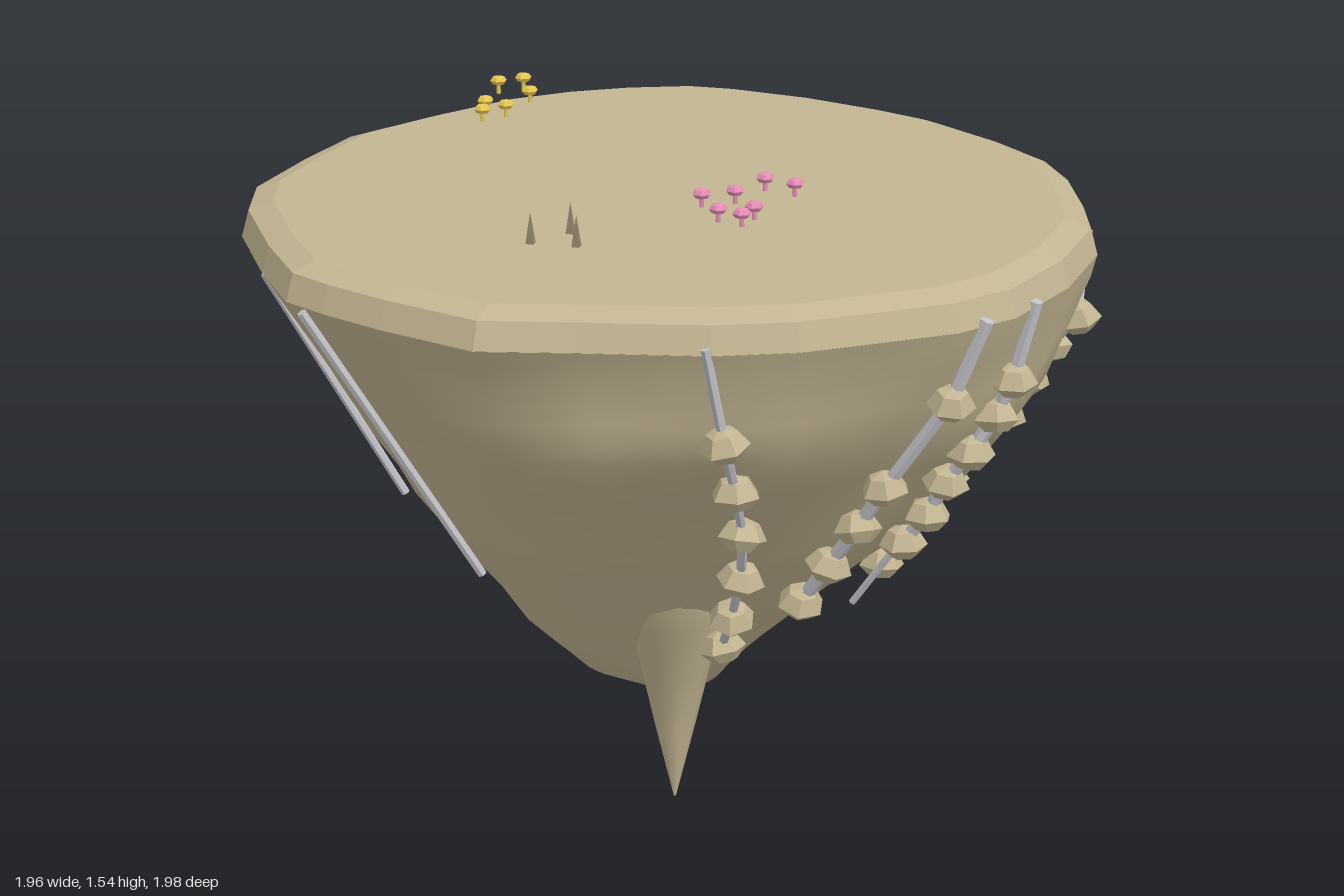
import * as THREE from 'three';

const mat = (name, color) => Object.assign(new THREE.MeshStandardMaterial({ color }), { name });

// irregular rim of the island, seen from above as [x, z]
const RIM = [
  [0.02, -0.97], [0.2, -0.97], [0.36, -0.94], [0.52, -0.88], [0.61, -0.8], [0.75, -0.62], [0.86, -0.42],
  [0.92, -0.28], [0.96, -0.06], [0.97, 0.14], [0.93, 0.3], [0.84, 0.5], [0.76, 0.65], [0.57, 0.82],
  [0.36, 0.94], [0.2, 0.97], [0.02, 0.95], [-0.15, 0.93], [-0.32, 0.87], [-0.56, 0.73], [-0.74, 0.63],
  [-0.86, 0.42], [-0.93, 0.27], [-0.97, 0.16], [-0.95, -0.05], [-0.9, -0.33], [-0.82, -0.5],
  [-0.63, -0.68], [-0.46, -0.82], [-0.2, -0.91],
].map(([x, z]) => [x / 0.97, z / 0.97]);

const circle = (n) => Array.from({ length: n }, (_, i) => {
  const a = (i / n) * Math.PI * 2;
  return [Math.sin(a), -Math.cos(a)];
});

// skin over rings listed from top to bottom: [y, xMin, xMax, zMin, zMax], closed at the named end
function loft(outline, rings, { flat = false, closed, bump = () => 0 }) {
  const n = outline.length, pos = [], index = [];
  const centre = ([y, x0, x1, z0, z1]) => [(x0 + x1) / 2, y, (z0 + z1) / 2];
  for (const r of rings) {
    const [cx, y, cz] = centre(r);
    for (const [px, pz] of outline) {
      const k = 1 + bump(Math.atan2(pz, px), y);
      pos.push(cx + px * k * (r[2] - r[1]) / 2, y, cz + pz * k * (r[4] - r[3]) / 2);
    }
  }
  const hub = pos.length / 3, last = (rings.length - 1) * n;
  pos.push(...centre(closed === 'top' ? rings[0] : rings[rings.length - 1]));
  for (let j = 0; j < n; j++) {
    const k = (j + 1) % n;
    if (closed === 'top') index.push(hub, k, j);
    else index.push(hub, last + j, last + k);
    for (let i = 0; i < last; i += n) index.push(i + j, i + k, i + n + k, i + j, i + n + k, i + n + j);
  }
  let g = new THREE.BufferGeometry();
  g.setAttribute('position', new THREE.Float32BufferAttribute(pos, 3));
  g.setIndex(index);
  if (flat) g = g.toNonIndexed();
  g.computeVertexNormals();
  return g;
}

const flatten = (g) => {
  const f = g.index ? g.toNonIndexed() : g;
  f.computeVertexNormals();
  return f;
};

// linear resampling of the ring table for a finer, bumpy surface
function refine(rings, steps) {
  const out = [];
  for (let i = 0; i < rings.length - 1; i++)
    for (let s = 0; s < steps; s++) out.push(rings[i].map((v, k) => v + (rings[i + 1][k] - v) * s / steps));
  return [...out, rings[rings.length - 1]];
}

export function createModel() {
  const root = new THREE.Group();
  root.name = 'floatingIsland';
  const soil = mat('soil', 0xc3b592), grey = mat('stoneGrey', 0xbcbcbc), cable = mat('cableGrey', 0xc2c2c8);
  const pink = mat('pinkCap', 0xf695c2), yellow = mat('yellowCap', 0xf0ce54), dark = mat('sproutBrown', 0x93866a);

  const add = (name, geometry, material, parent = root) => {
    const m = new THREE.Mesh(geometry, material);
    m.name = name;
    parent.add(m);
    return m;
  };

  // flat plateau with a bevelled rim
  add('plateau', loft(RIM, [
    [1.466, -0.9, 0.91, -0.9, 0.905],
    [1.445, -0.955, 0.965, -0.965, 0.96],
    [1.385, -0.975, 0.98, -0.975, 0.98],
  ], { flat: true, closed: 'top' }), soil);

  // tapering underside: fuller shoulders on the diagonals and soft vertical folds
  add('underside', loft(RIM, refine([
    [1.386, -0.975, 0.98, -0.975, 0.98],
    [1.33, -0.94, 0.965, -0.96, 0.955],
    [1.25, -0.885, 0.915, -0.925, 0.92],
    [1.15, -0.815, 0.83, -0.88, 0.88],
    [1.05, -0.755, 0.795, -0.86, 0.82],
    [0.95, -0.7, 0.77, -0.78, 0.74],
    [0.82, -0.625, 0.73, -0.68, 0.64],
    [0.72, -0.565, 0.66, -0.61, 0.56],
    [0.55, -0.43, 0.47, -0.47, 0.4],
    [0.42, -0.335, 0.34, -0.34, 0.275],
    [0.29, -0.2, 0.21, -0.2, 0.16],
    [0.23, -0.08, 0.16, -0.14, 0.1],
    [0.185, 0.07, 0.12, -0.09, -0.04],
  ], 2), {
    closed: 'bottom',
    bump: (a, y) => {
      const fade = Math.min(1, (1.386 - y) * 4);
      const shoulder = 0.065 * Math.sin(2 * a) ** 2 * Math.exp(-(((y - 1.12) / 0.25) ** 2));
      const folds = 0.014 * Math.sin(5 * a + 4 * y) + 0.014 * Math.sin(9 * a - 7 * y) + 0.01 * Math.sin(13 * a + 11 * y);
      return fade * (shoulder + folds);
    },
  }), soil);

  // hanging stalactite
  const spike = [[0.76, -0.13, 0.38, 0.05], [0.62, -0.11, 0.3, 0.105], [0.5, -0.085, 0.25, 0.11],
    [0.35, -0.065, 0.21, 0.082], [0.2, -0.06, 0.2, 0.05], [0, -0.06, 0.2, 0.003]];
  add('stalactite', loft(circle(9), spike.map(([y, x, z, r]) => [y, x - r, x + r, z - r, z + r]), { closed: 'bottom' }), soil);

  // cables
  const rod = (name, a, b, r, parent = root) => {
    const p = new THREE.Vector3(...a), d = new THREE.Vector3(...b).sub(p);
    const m = add(name, flatten(new THREE.CylinderGeometry(r, r, d.length(), 6)), cable, parent);
    m.position.copy(p).addScaledVector(d, 0.5);
    m.quaternion.setFromUnitVectors(new THREE.Vector3(0, 1, 0), d.normalize());
  };
  rod('leftCable', [-0.965, 1.38, 0.23], [-0.585, 0.72, 0.28], 0.011);
  rod('leftRearCable', [-0.945, 1.38, -0.06], [-0.665, 0.84, 0.03], 0.01);
  rod('frontBareCable', [0.57, 1.4, 0.8], [0.49, 0.97, 0.63], 0.009);
  rod('frontBareCable', [0.49, 0.97, 0.63], [0.33, 0.5, 0.36], 0.009);

  // strings of faceted stones on cables, hung from the rim
  const stoneGeometry = flatten(new THREE.LatheGeometry(
    [[0, -0.036], [0.03, -0.034], [0.055, -0.008], [0.034, 0.028], [0, 0.04]].map((p) => new THREE.Vector2(...p)), 6));
  const chains = [
    { r: 0.011, top: [-0.33, 1.4, 0.87], stones: [[-0.28, 1.18, 0.86], [-0.22, 1.04, 0.8], [-0.17, 0.91, 0.74],
      [-0.13, 0.77, 0.66], [-0.1, 0.63, 0.56], [-0.06, 0.5, 0.44]] },
    { r: 0.016, top: [0.28, 1.4, 0.97], stones: [[0.23, 1.21, 0.92], [0.14, 0.99, 0.81], [0.11, 0.88, 0.75],
      [0.08, 0.77, 0.68], [0.05, 0.66, 0.61]] },
    { r: 0.016, top: [0.44, 1.4, 0.91], stones: [[0.41, 1.22, 0.88], [0.39, 1.13, 0.85], [0.35, 1.04, 0.82],
      [0.32, 0.96, 0.77], [0.3, 0.87, 0.73], [0.27, 0.79, 0.68]] },
    { r: 0.01, top: [0.83, 1.4, 0.53], stones: [[0.77, 1.22, 0.59], [0.75, 1.13, 0.52], [0.71, 1.05, 0.49],
      [0.67, 0.96, 0.46], [0.6, 0.86, 0.42], [0.56, 0.79, 0.39], [0.5, 0.7, 0.36], [0.42, 0.58, 0.34]] },
    { r: 0.01, top: [0.59, 1.4, -0.8], stones: [[0.57, 1.2, -0.78], [0.54, 1.08, -0.74], [0.49, 0.97, -0.69],
      [0.44, 0.86, -0.63], [0.38, 0.75, -0.58], [0.32, 0.63, -0.5]] },
  ];
  chains.forEach(({ r, top, stones }, c) => {
    const chain = new THREE.Group();
    chain.name = 'stoneChain' + (c + 1);
    root.add(chain);
    let from = top;
    stones.forEach((s, i) => {
      rod('chainCable', from, s, r, chain);
      const m = add('chainStone', stoneGeometry, soil, chain);
      m.position.set(...s);
      m.rotation.set(0.2 * Math.sin(i * 2 + c), i * 1.7 + c, 0.25 * Math.cos(i * 3 + c));
      from = s;
    });
  });

  // grey rock wedged into the rear
  const rock = add('rearRock', flatten(new THREE.CylinderGeometry(0.17, 0.2, 0.16, 5)), grey);
  rock.position.set(-0.2, 0.9, -0.55);
  rock.rotation.set(0, 0.157, 0);

  // small mushrooms on the plateau
  const stem = new THREE.CylinderGeometry(0.005, 0.006, 0.035, 5);
  const cap = flatten(new THREE.SphereGeometry(0.022, 6, 4).scale(1, 0.6, 1));
  const mushrooms = (name, material, spots) => spots.forEach(([x, z], i) => {
    const g = new THREE.Group();
    g.name = name;
    g.position.set(x, 1.464, z);
    g.rotation.y = i;
    add('stem', stem, material, g).position.y = 0.016;
    add('cap', cap, material, g).position.y = 0.033;
    root.add(g);
  });
  mushrooms('pinkMushroom', pink, [[0.02, 0.17], [0.1, 0.18], [0.21, 0.12], [0.25, 0.19], [0, 0.29], [0.03, 0.345], [0.08, 0.31]]);
  mushrooms('yellowMushroom', yellow, [[-0.09, -0.81], [0.05, -0.85], [-0.06, -0.75], [-0.13, -0.735], [0.02, -0.98], [0.09, -0.98]]);

  // pointed sprouts
  for (const [x, z] of [[-0.44, 0.25], [-0.33, 0.22], [-0.36, 0.315]])
    add('sprout', flatten(new THREE.ConeGeometry(0.013, 0.075, 4)), dark).position.set(x, 1.5, z);

  return root;
}
